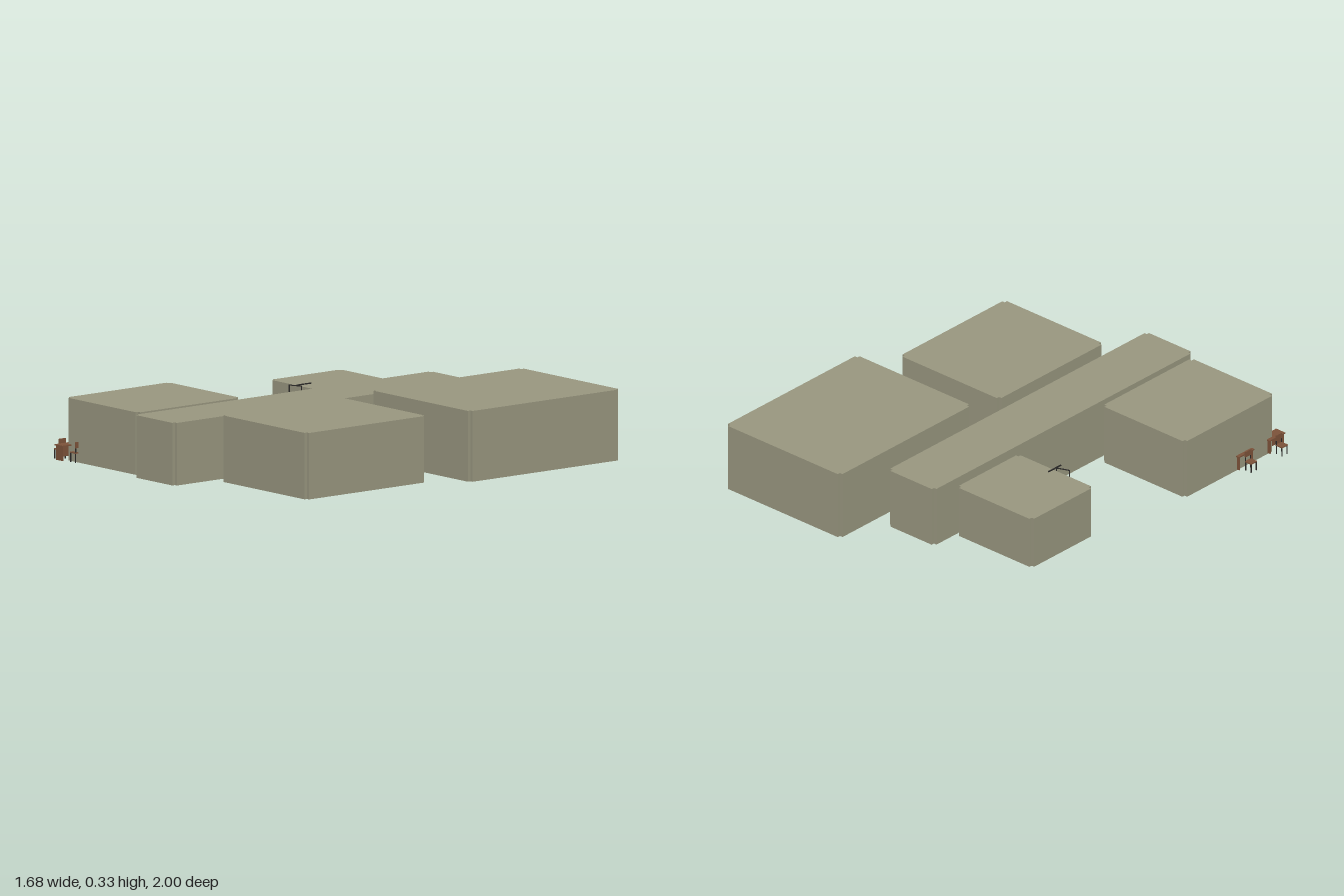
import * as THREE from 'three';

const T = 0.015; // wall thickness
const SLAB = 0.005; // floor and ceiling thickness
const DOOR_W = 0.1, DOOR_H = 0.21;

const mat = (name, color) => {
  const m = new THREE.MeshStandardMaterial({ color });
  m.name = name;
  return m;
};

export function createModel() {
  const plaster = mat('plaster', 0x98967f);
  const wood = mat('wood', 0x7c5239);
  const metal = mat('darkMetal', 0x2b2a28);
  const model = new THREE.Group();
  model.name = 'floorPlan';

  const box = (parent, name, material, w, h, d, x, y, z) => {
    const m = new THREE.Mesh(new THREE.BoxGeometry(w, h, d), material);
    m.name = name;
    m.position.set(x, y, z);
    parent.add(m);
    return m;
  };

  // Side wall running along z, with doorways cut from its lower edge
  function sideWall(parent, name, x, z0, z1, h, doors) {
    const s = new THREE.Shape();
    s.moveTo(z0, 0);
    for (const c of [...doors].sort((a, b) => a - b)) {
      s.lineTo(c - DOOR_W / 2, 0);
      s.lineTo(c - DOOR_W / 2, DOOR_H);
      s.lineTo(c + DOOR_W / 2, DOOR_H);
      s.lineTo(c + DOOR_W / 2, 0);
    }
    s.lineTo(z1, 0);
    s.lineTo(z1, h);
    s.lineTo(z0, h);
    const g = new THREE.ExtrudeGeometry(s, { depth: T, bevelEnabled: false });
    g.rotateY(-Math.PI / 2);
    const m = new THREE.Mesh(g, plaster);
    m.name = name;
    m.position.x = x + T;
    parent.add(m);
  }

  // Hollow room; walls meet only at their inner edges, leaving notched corners
  function room({ name, x0, x1, z0, z1, h, left = [], right = [] }) {
    const g = new THREE.Group();
    g.name = name;
    const cx = (x0 + x1) / 2, cz = (z0 + z1) / 2;
    const w = x1 - x0 - 2 * T, d = z1 - z0 - 2 * T;
    box(g, 'floor', plaster, w, SLAB, d, cx, SLAB / 2, cz);
    box(g, 'ceiling', plaster, w, SLAB, d, cx, h - SLAB / 2, cz);
    box(g, 'backWall', plaster, w, h, T, cx, h / 2, z0 + T / 2);
    box(g, 'frontWall', plaster, w, h, T, cx, h / 2, z1 - T / 2);
    sideWall(g, 'rightWall', x0, z0 + T, z1 - T, h, right);
    sideWall(g, 'leftWall', x1 - T, z0 + T, z1 - T, h, left);
    model.add(g);
  }

  room({ name: 'corridor', x0: -0.23, x1: 0.055, z0: -0.765, z1: 0.99, h: 0.29,
    right: [-0.41, 0.64], left: [-0.555, 0.4] });
  room({ name: 'largeRoom', x0: 0.135, x1: 0.84, z0: -1, z1: -0.11, h: 0.328, right: [-0.555] });
  room({ name: 'mediumRoom', x0: 0.105, x1: 0.715, z0: 0.045, z1: 0.753, h: 0.308, right: [0.4] });
  room({ name: 'smallRoom', x0: -0.7, x1: -0.237, z0: -0.62, z1: -0.203, h: 0.25, left: [-0.41] });
  room({ name: 'diningRoom', x0: -0.773, x1: -0.262, z0: 0.338, z1: 0.944, h: 0.29, left: [0.64] });

  // Table with end panels and a centre panel
  function table(x, z) {
    const g = new THREE.Group();
    g.name = 'table';
    box(g, 'tableTop', wood, 0.056, 0.006, 0.105, 0, 0.074, 0);
    for (const s of [-1, 1]) box(g, 'endPanel', wood, 0.05, 0.066, 0.005, 0, 0.038, s * 0.045);
    box(g, 'centrePanel', wood, 0.005, 0.05, 0.086, 0, 0.046, 0);
    g.position.set(x, 0, z);
    model.add(g);
  }

  // Chair with its back on the +x side
  function chair(x, z) {
    const g = new THREE.Group();
    g.name = 'chair';
    box(g, 'seat', wood, 0.04, 0.005, 0.04, 0, 0.045, 0);
    for (const sx of [-1, 1]) for (const sz of [-1, 1])
      box(g, 'leg', metal, 0.004, 0.043, 0.004, sx * 0.017, 0.0215, sz * 0.017);
    for (const sz of [-1, 1]) box(g, 'backPost', metal, 0.004, 0.05, 0.004, 0.018, 0.07, sz * 0.017);
    box(g, 'backRest', wood, 0.005, 0.028, 0.04, 0.018, 0.082, 0);
    g.position.set(x, 0, z);
    model.add(g);
  }

  for (const z of [0.737, 0.946]) {
    table(-0.763, z);
    chair(-0.82, z - 0.003);
    chair(-0.705, z - 0.003);
  }

  // Thin hanging frame on an arm over the small room's front edge
  const sign = new THREE.Group();
  sign.name = 'hangingFrame';
  box(sign, 'arm', metal, 0.005, 0.005, 0.085, 0.015, 0.262, 0);
  const frame = new THREE.Group();
  frame.name = 'frame';
  for (const y of [0.19, 0.255]) box(frame, 'rail', metal, 0.065, 0.004, 0.004, 0, y, 0);
  for (const x of [-0.032, 0.032]) box(frame, 'stile', metal, 0.004, 0.069, 0.004, x, 0.2225, 0);
  frame.position.set(-0.01, 0, 0.03);
  frame.rotation.y = 0.37;
  sign.add(frame);
  sign.position.set(-0.48, 0, -0.207);
  model.add(sign);

  return model;
}
